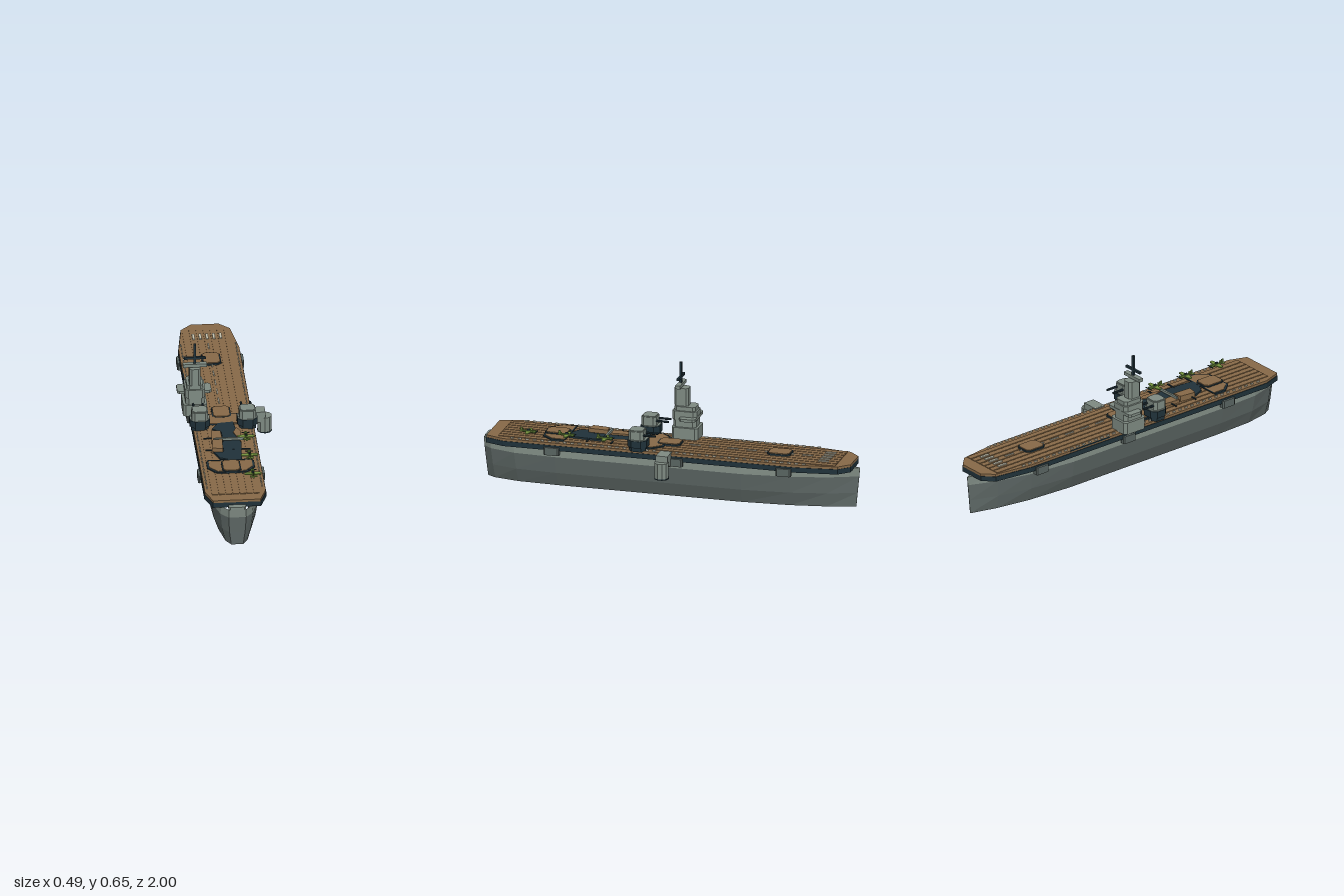
import * as THREE from 'three';

const CX = -0.022; // ship centreline

const paint = (name, color) => {
  const m = new THREE.MeshStandardMaterial({ color, flatShading: true });
  m.name = name;
  return m;
};

export function createModel() {
  const ship = new THREE.Group();
  ship.name = 'aircraftCarrier';
  const grey = paint('light grey', 0x7f8b83);
  const hullGrey = paint('hull grey', 0x5f6967);
  const upperGrey = paint('upper hull grey', 0x7f8b83);
  hullGrey.side = upperGrey.side = THREE.DoubleSide;
  const sponsonGrey = paint('sponson grey', 0x5a6562);
  const dark = paint('dark blue grey', 0x20323a);
  const wood = paint('deck brown', 0x886a48);
  const beige = paint('marking beige', 0xc6c3b0);
  const green = paint('plane green', 0x5f7d35);
  const leaf = paint('wing green', 0x76953f);

  const add = (name, geo, mat, parent = ship) => {
    const m = new THREE.Mesh(geo, mat);
    m.name = name;
    parent.add(m);
    return m;
  };
  const box = (name, mat, x, y, z, w, h, d, parent) => {
    const m = add(name, new THREE.BoxGeometry(w, h, d), mat, parent);
    m.position.set(x, y, z);
    return m;
  };
  // Upright prism over an outline of [x, z] points
  const prism = (name, mat, pts, y0, y1, parent) => {
    const shape = new THREE.Shape(pts.map(([x, z]) => new THREE.Vector2(x, -z)));
    const geo = new THREE.ExtrudeGeometry(shape, { depth: y1 - y0, bevelEnabled: false });
    geo.rotateX(-Math.PI / 2).translate(0, y0, 0);
    return add(name, geo, mat, parent);
  };
  // Rectangle with cut corners
  const oct = (x, z, w, d, c) => {
    const a = w / 2, b = d / 2;
    return [[-a + c, -b], [a - c, -b], [a, -b + c], [a, b - c], [a - c, b], [-a + c, b], [-a, b - c], [-a, -b + c]]
      .map(([px, pz]) => [x + px, z + pz]);
  };

  // Hull, open below: stations along z with a width factor, levels with y, half width and length factor
  const stations = [[1, 0.34], [0.955, 0.63], [0.82, 0.92], [0.6, 1], [-0.4, 1], [-0.66, 0.8], [-0.85, 0.46], [-1, 0.01]];
  const levels = [[0, 0.09, 0.98], [0.075, 0.118, 0.987], [0.165, 0.133, 0.996], [0.212, 0.129, 1]];
  const hullPart = (name, mat, from, to) => {
    const pos = [];
    const quad = (a, b, c, d) => pos.push(...a, ...b, ...c, ...a, ...c, ...d);
    const p = (s, l, side) => {
      const [z, k] = stations[s], [y, hw, len] = levels[l];
      return [CX + side * hw * k, y, z * len];
    };
    const e = stations.length - 1;
    for (let l = from; l < to; l++) {
      for (let s = 0; s < e; s++) {
        quad(p(s, l, 1), p(s + 1, l, 1), p(s + 1, l + 1, 1), p(s, l + 1, 1));
        quad(p(s + 1, l, -1), p(s, l, -1), p(s, l + 1, -1), p(s + 1, l + 1, -1));
      }
      quad(p(0, l, -1), p(0, l, 1), p(0, l + 1, 1), p(0, l + 1, -1));
      quad(p(e, l, 1), p(e, l, -1), p(e, l + 1, -1), p(e, l + 1, 1));
    }
    const geo = new THREE.BufferGeometry();
    geo.setAttribute('position', new THREE.Float32BufferAttribute(pos, 3));
    geo.computeVertexNormals();
    add(name, geo, mat);
  };
  hullPart('lowerHull', hullGrey, 0, 2);
  hullPart('upperHull', upperGrey, 2, 3);
  prism('sternLedge', grey, oct(CX, 0.945, 0.09, 0.1, 0.01), 0.205, 0.222);
  prism('bowLedge', grey, [[CX - 0.03, -0.92], [CX, -0.998], [CX + 0.03, -0.92]], 0.205, 0.212);

  // Flight deck on its dark underside
  const half = [[0.072, -0.97], [0.127, -0.915], [0.157, -0.7], [0.157, 0.865], [0.122, 0.964]];
  const outline = (grow) => [
    ...half.map(([x, z]) => [CX + x + grow, z]),
    ...half.slice().reverse().map(([x, z]) => [CX - x - grow, z]),
  ];
  prism('deckUnderside', dark, outline(0.003), 0.209, 0.236);
  prism('flightDeck', wood, outline(0), 0.236, 0.249);
  for (let i = -3; i <= 3; i++) box('deckPlank', wood, CX + i * 0.036, 0.2505, 0, 0.03, 0.004, 1.8);
  box('deckEdgeGutter', dark, CX - 0.156, 0.247, -0.31, 0.006, 0.006, 0.26);

  // Dotted edge lights along both sides
  for (const s of [-1, 1]) for (let i = 0; i < 40; i++) {
    box('edgeLight', beige, CX + s * 0.142, 0.2525, -0.74 + i * 0.04, 0.005, 0.007, 0.018);
  }

  // Painted landing marks
  for (let i = -2; i <= 2; i++) box('landingBar', beige, CX + i * 0.035, 0.255, -0.825, 0.013, 0.006, 0.055);
  for (let i = 0; i < 7; i++) box('centreDash', beige, CX, 0.2545, -0.72 + i * 0.1, 0.007, 0.005, 0.055);

  // Lifts with dark rims
  const lift = (z, y = 0.25) => {
    prism('liftRim', dark, oct(CX, z, 0.098, 0.124, 0.018), y, y + 0.011);
    prism('liftPlate', wood, oct(CX, z, 0.086, 0.112, 0.015), y + 0.011, y + 0.015);
  };
  lift(-0.573);
  lift(0.015);
  lift(0.615, 0.254);

  // Raised platforms, rimmed on their outer ends only
  const platform = (inner, shoulder, end) => {
    const dir = Math.sign(end - inner);
    const plan = (g) => [[0.123 - g, inner], [0.123 - g, shoulder - dir * g * 0.4], [0.076 - g * 0.4, end - dir * g]];
    const mirror = (pts) => [
      ...pts.map(([x, z]) => [CX + x, z]),
      ...pts.slice().reverse().map(([x, z]) => [CX - x, z]),
    ];
    prism('platformRim', dark, mirror(plan(0)), 0.249, 0.258);
    prism('platformTop', wood, mirror(plan(0.011)), 0.249, 0.2605);
  };
  platform(0.55, 0.62, 0.675);
  platform(0.14, 0.08, 0.03);

  // Open dark deck areas, blocks and a cross beam
  prism('deckOpening', dark, [[-0.085, 0.2], [-0.05, 0.14], [0.03, 0.13], [0.04, 0.24], [0.05, 0.35], [-0.04, 0.35], [-0.04, 0.24]], 0.25, 0.262);
  prism('deckOpening', dark, [[-0.045, 0.35], [0.055, 0.35], [0.04, 0.54], [-0.01, 0.55], [-0.07, 0.52], [-0.1, 0.45], [-0.045, 0.45]], 0.25, 0.262);
  prism('deckBlock', wood, [[-0.1, 0.35], [-0.09, 0.23], [-0.045, 0.24], [-0.042, 0.34]], 0.25, 0.27);
  prism('deckBlock', wood, [[-0.105, 0.45], [-0.095, 0.36], [-0.045, 0.355], [-0.05, 0.46]], 0.25, 0.283);
  prism('deckBlock', wood, [[0.052, 0.36], [0.06, 0.24], [0.04, 0.2], [0.02, 0.25]], 0.25, 0.266);
  box('crossBeam', grey, -0.01, 0.276, 0.343, 0.16, 0.013, 0.01);
  for (const z of [0.3, 0.43, 0.546]) box('arrestingCable', dark, CX, 0.26, z, 0.23, 0.005, 0.007);

  // Sponsons along both sides
  for (const s of [-1, 1]) for (const z of [0.605, -0.055, -0.635]) {
    prism('sponson', sponsonGrey, oct(CX + s * 0.155, z, 0.034, 0.08, 0.006), 0.185, 0.226);
  }

  // Twin gun turrets aimed towards the bow
  for (const s of [-1, 1]) {
    const turret = new THREE.Group();
    turret.name = 'gunTurret';
    turret.position.set(CX + s * 0.123, 0, 0.15);
    prism('turretFoot', dark, oct(0, 0, 0.088, 0.09, 0.02), 0.245, 0.27, turret);
    prism('turretBase', dark, oct(0, 0, 0.104, 0.102, 0.026), 0.267, 0.304, turret);
    prism('turretRing', grey, oct(0, 0.002, 0.098, 0.094, 0.024), 0.304, 0.307, turret);
    prism('turretHouse', grey, oct(0, 0.006, 0.084, 0.08, 0.014), 0.307, 0.352, turret);
    prism('turretRoof', grey, oct(0, 0.006, 0.074, 0.07, 0.012), 0.352, 0.357, turret);
    for (const b of [-0.024, 0.024]) {
      const barrel = add('gunBarrel', new THREE.CylinderGeometry(0.006, 0.007, 0.08, 8), dark, turret);
      barrel.rotation.x = -Math.PI / 2;
      barrel.position.set(b, 0.331, -0.058);
    }
    ship.add(turret);
  }

  // Island tower, stacked tiers
  const IX = -0.156;
  const tier = (name, mat, z, w, d, c, y0, y1) => prism(name, mat, oct(IX, z, w, d, c), y0, y1);
  tier('islandBase', grey, -0.038, 0.124, 0.14, 0.014, 0.249, 0.314);
  tier('islandBody', grey, -0.034, 0.096, 0.122, 0.016, 0.314, 0.36);
  tier('islandBridge', grey, -0.034, 0.104, 0.13, 0.016, 0.352, 0.4);
  tier('bridgeWings', grey, -0.058, 0.177, 0.085, 0.012, 0.356, 0.371);
  tier('bridgeRoof', grey, -0.034, 0.084, 0.112, 0.014, 0.4, 0.422);
  tier('islandTower', grey, -0.012, 0.058, 0.075, 0.012, 0.422, 0.517);
  box('mast', dark, IX, 0.583, -0.003, 0.013, 0.135, 0.013);
  box('radarBar', grey, IX, 0.531, -0.003, 0.123, 0.018, 0.026);
  box('mastYard', dark, IX, 0.571, -0.003, 0.113, 0.012, 0.013);

  // Side funnel turned downwards
  const duct = new THREE.Shape([[0.115, 0.255], [0.206, 0.255], [0.206, 0.2], [0.17, 0.195], [0.15, 0.182], [0.115, 0.182]]
    .map(([x, y]) => new THREE.Vector2(x, y)));
  add('funnelDuct', new THREE.ExtrudeGeometry(duct, { depth: 0.062, bevelEnabled: false }).translate(0, 0, -0.034), grey);
  add('funnelPipe', new THREE.CylinderGeometry(0.038, 0.038, 0.082, 10), grey).position.set(0.204, 0.181, -0.003);
  add('funnelMouth', new THREE.CylinderGeometry(0.039, 0.039, 0.006, 10), dark).position.set(0.204, 0.138, -0.003);

  // Parked propeller planes, noses to the bow
  for (const z of [0.337, 0.542, 0.747]) {
    const plane = new THREE.Group();
    plane.name = 'parkedPlane';
    plane.position.set(0.08, 0.282, z);
    const body = add('fuselage', new THREE.CylinderGeometry(0.01, 0.005, 0.084, 8), green, plane);
    body.rotation.x = -Math.PI / 2;
    const wing = [[-0.044, -0.012], [0, -0.02], [0.044, -0.012], [0.044, 0.004], [0, 0.011], [-0.044, 0.004]];
    prism('wing', leaf, wing, -0.003, 0.003, plane);
    box('tailplane', leaf, 0, 0.003, 0.034, 0.038, 0.004, 0.013, plane);
    box('tailFin', green, 0, 0.011, 0.035, 0.004, 0.018, 0.012, plane);
    box('canopy', dark, 0, 0.009, -0.003, 0.008, 0.007, 0.016, plane);
    box('propeller', dark, 0, 0, -0.045, 0.042, 0.004, 0.004, plane);
    ship.add(plane);
  }
  return ship;
}
